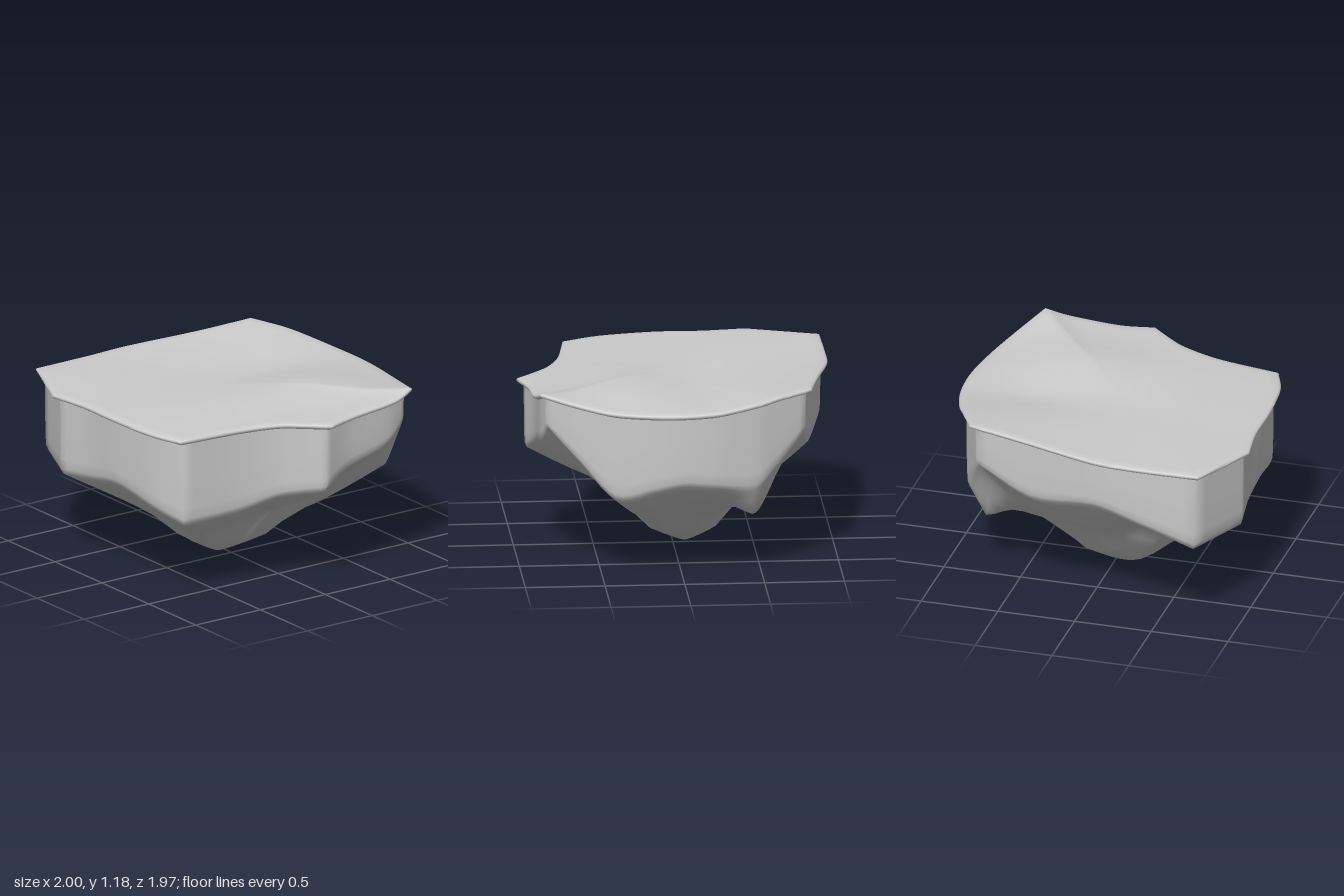
import * as THREE from 'three';
import { toCreasedNormals } from 'three/addons/utils/BufferGeometryUtils.js';

// Outline keys: x, z, rim height, foot height of the cliff, height halfway to the tip
const KEYS = [
  [-0.80, -0.98, 1.11, 0.57, 0.38], [-0.40, -0.985, 1.11, 0.70, 0.40], [-0.10, -0.975, 1.12, 0.78, 0.40],
  [0.36, -0.88, 1.15, 0.73, 0.39], [0.74, -0.815, 1.18, 0.88, 0.42], [0.84, -0.62, 1.16, 0.68, 0.37],
  [0.905, -0.48, 1.135, 0.56, 0.32], [0.975, -0.23, 1.10, 0.59, 0.29], [0.995, 0.0, 1.09, 0.61, 0.29],
  [0.98, 0.2, 1.09, 0.57, 0.28], [0.93, 0.45, 1.10, 0.52, 0.26], [0.84, 0.69, 1.14, 0.75, 0.34],
  [0.75, 0.89, 1.185, 0.95, 0.41], [0.60, 0.92, 1.14, 0.83, 0.43], [0.28, 0.935, 1.11, 0.75, 0.43],
  [0.06, 0.985, 1.10, 0.65, 0.41], [-0.07, 0.87, 1.10, 0.63, 0.39], [-0.2, 0.775, 1.10, 0.60, 0.36],
  [-0.45, 0.69, 1.09, 0.53, 0.31], [-0.85, 0.63, 1.08, 0.50, 0.28], [-0.93, 0.4, 1.09, 0.57, 0.28],
  [-0.965, 0.05, 1.10, 0.64, 0.29], [-0.965, -0.25, 1.10, 0.60, 0.31], [-1.0, -0.53, 1.10, 0.57, 0.34],
];
const CORNERS = [0, 4, 12, 15, 19, 23, 24];
const PER_SPAN = 5;
const TIP = new THREE.Vector3(-0.04, 0, -0.08);
const { lerp: mix, smoothstep } = THREE.MathUtils;
const bump = (x, z, cx, cz, wx, wz) => Math.exp(-(((x - cx) / wx) ** 2) - ((z - cz) / wz) ** 2);

// Smooth curves between the sharp corners, sampled into columns
function makeColumns() {
  const columns = [];
  for (let s = 0; s < CORNERS.length - 1; s++) {
    const keys = [...KEYS, KEYS[0]].slice(CORNERS[s], CORNERS[s + 1] + 1);
    const curve = (pts) => new THREE.CatmullRomCurve3(pts, false, 'catmullrom', 0.45);
    const rim = curve(keys.map(([x, z, top]) => new THREE.Vector3(x, top, z)));
    const rock = curve(keys.map(([, , , foot, mid]) => new THREE.Vector3(foot, mid, 0)));
    const n = (keys.length - 1) * PER_SPAN;
    for (let i = 0; i < n; i++) {
      const p = rim.getPoint(i / n), q = rock.getPoint(i / n);
      columns.push({ x: p.x, z: p.z, top: p.y, foot: q.x, mid: q.y });
    }
  }
  return columns;
}

// Joins rings of points, listed from the upper middle outwards and down
function loft(rings, crease, firstIsPoint, lastIsPoint) {
  const n = rings[0].length, index = [];
  const geometry = new THREE.BufferGeometry().setFromPoints(rings.flat());
  for (let j = 0; j < rings.length - 1; j++) {
    for (let i = 0; i < n; i++) {
      const k = (i + 1) % n;
      const a = j * n + i, b = j * n + k, c = a + n, d = b + n;
      if (!(firstIsPoint && j === 0)) index.push(a, b, d);
      if (!(lastIsPoint && j === rings.length - 2)) index.push(a, d, c);
    }
  }
  geometry.setIndex(index);
  return toCreasedNormals(geometry.toNonIndexed(), crease);
}

// Gently rolling ground: rim height blended to the middle, a long swell and a shallow valley
function groundPoint(c, s) {
  const x = c.x * s, z = c.z * s;
  const roll = 0.04 * bump(x, z, 0.4, 0.33, 0.5, 0.28) - 0.02 * bump(x, z, 0.35, -0.18, 0.5, 0.2);
  const y = mix(1.112, c.top, s ** 2.3) + roll * (1 - s ** 4);
  return new THREE.Vector3(x, y, z);
}

// Underside: height along a column from the foot (f = 1) to the tip (f = 0)
function underPoint(c, foot, f) {
  const x = mix(TIP.x, foot.x, f), z = mix(TIP.z, foot.z, f);
  const low = mix(c.mid * 0.4, 0.11, 0.5);
  let y;
  if (f > 0.52) {
    // The back left keeps a flat shelf before it drops
    const shelf = smoothstep(-c.z, 0.45, 0.9) * smoothstep(-c.x, 0.1, 0.6);
    y = mix(c.mid, c.foot, ((f - 0.52) / 0.48) ** mix(1.15, 0.5, shelf));
  } else if (f > 0.26) {
    y = mix(low, c.mid, (f - 0.26) / 0.26);
  } else {
    y = low * (f / 0.26) ** 1.15;
  }
  // Hanging knob below the back right corner
  y -= 0.16 * bump(x, z, 0.75, -0.49, 0.16, 0.13) * smoothstep(1 - f, 0, 0.1);
  return new THREE.Vector3(x, y, z);
}

export function createModel() {
  const group = new THREE.Group();
  group.name = 'floatingIsland';
  const material = new THREE.MeshStandardMaterial({ color: 0xcccccc });
  const columns = makeColumns();
  const add = (name, geometry) => {
    const mesh = new THREE.Mesh(geometry, material);
    mesh.name = name;
    group.add(mesh);
  };

  // Ground slab with a thin overhanging lip
  const slab = [0, 0.15, 0.3, 0.45, 0.6, 0.72, 0.84, 0.93, 0.985].map((s) => columns.map((c) => groundPoint(c, s)));
  for (const [s, drop] of [[0.997, 0.005], [1, 0.014], [0.993, 0.027], [0.975, 0.034], [0.94, 0.034]]) {
    slab.push(columns.map((c) => new THREE.Vector3(c.x * s, c.top - drop, c.z * s)));
  }
  add('groundSlab', loft(slab, 1.0, true, false));

  // Cliff wall, then the underside tapering to a blunt tip
  const wall = [[0.955, 0], [0.953, 0.4], [0.951, 0.8], [0.947, 0.93], [0.935, 1]].map(([s, t]) =>
    columns.map((c) => new THREE.Vector3(c.x * s, mix(c.top - 0.03, c.foot, t), c.z * s)));
  const foot = wall[wall.length - 1];
  const under = [0.95, 0.9, 0.84, 0.78, 0.72, 0.65, 0.58, 0.52, 0.43, 0.34, 0.26, 0.17, 0.08, 0].map((f) =>
    columns.map((c, i) => underPoint(c, foot[i], f)));
  add('rockUnderside', loft([...wall, ...under], 2.2, false, true));

  return group;
}
